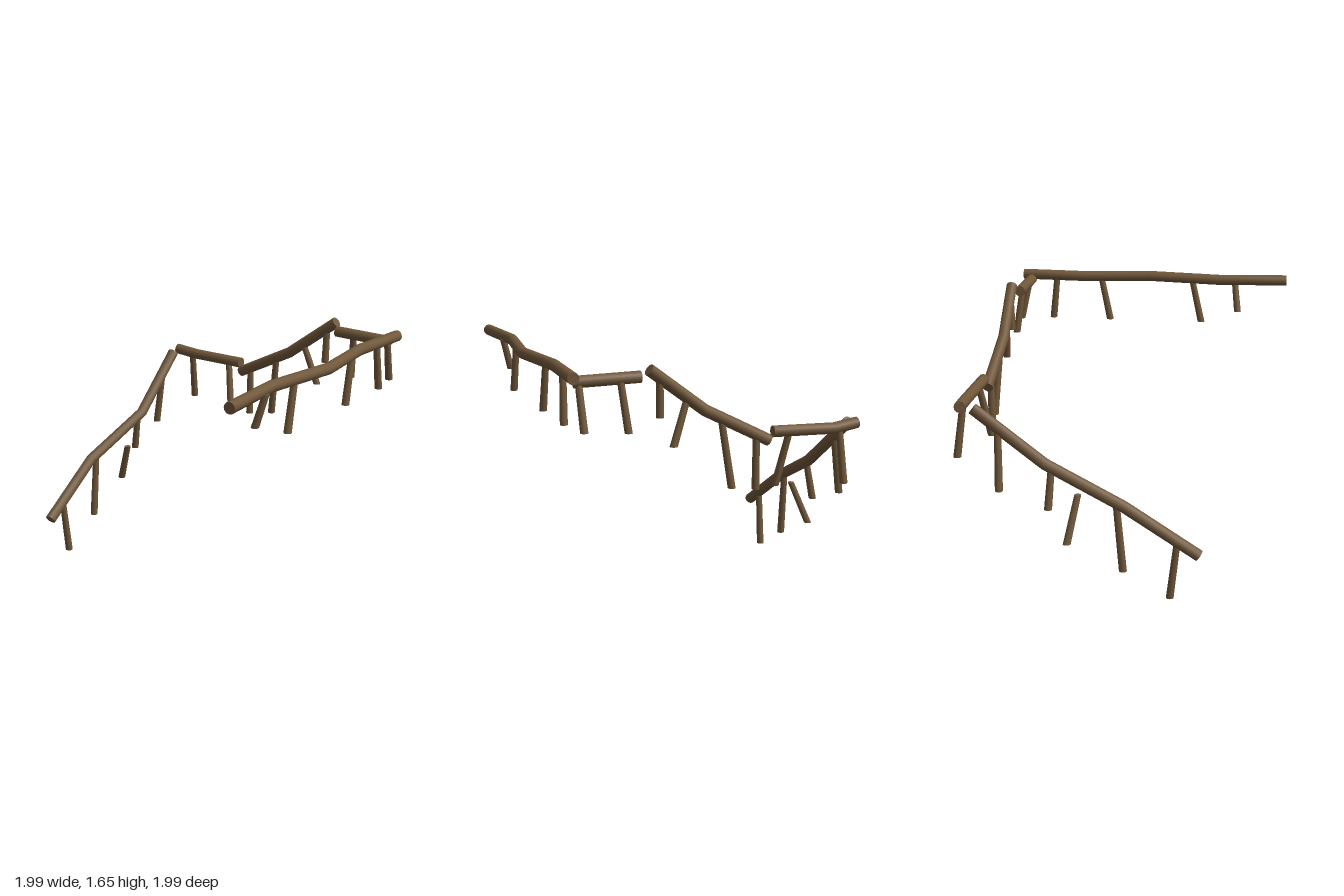
import * as THREE from 'three';

const UP = new THREE.Vector3(0, 1, 0);
const wood = new THREE.MeshStandardMaterial({ color: 0x70573a });
wood.name = 'weathered brown wood';

// Rails: polylines of [x, y, z], swept with mitred joints
const RAILS = {
  frontRail: [[-1, 1.615, 0.92], [-0.53, 1.613, 0.88], [-0.02, 1.61, 0.955], [0.45, 1.608, 0.895], [0.9, 1.606, 0.92]],
  shortSideRail: [[0.842, 1.577, 0.49], [0.842, 1.575, 0.9]],
  slopingSideRail: [[0.89, 1.625, 0.455], [0.872, 1.35, 0.09], [0.886, 1.13, -0.335]],
  rearSideRail: [[0.905, 1.187, -0.35], [0.922, 1.175, -0.77], [0.905, 1.193, -0.94]],
  backRail: [[-0.56, 0.295, -0.927], [-0.1, 0.6, -0.947], [0.4, 0.83, -0.885], [0.83, 1.183, -0.925]],
};

// Posts: [top, bottom], leaning, with level ends
const POSTS = {
  frontPost: [
    [[-0.635, 1.6, 0.915], [-0.662, 1.392, 0.86]],
    [[-0.33, 1.6, 0.91], [-0.398, 1.295, 0.915]],
    [[0.33, 1.6, 0.91], [0.268, 1.292, 0.915]],
    [[0.655, 1.6, 0.905], [0.688, 1.292, 0.915]],
  ],
  shortSidePost: [
    [[0.852, 1.57, 0.875], [0.918, 1.288, 0.866]],
    [[0.85, 1.57, 0.618], [0.893, 1.257, 0.585]],
  ],
  slopingSidePost: [
    [[0.885, 1.56, 0.385], [0.88, 1.33, 0.382]],
    [[0.875, 1.42, 0.21], [0.905, 1.152, 0.305]],
    [[0.873, 1.28, -0.02], [0.908, 0.858, -0.077]],
    [[0.884, 1.17, -0.25], [0.882, 0.826, -0.252]],
  ],
  rearSidePost: [
    [[0.908, 1.17, -0.462], [0.852, 0.826, -0.4]],
    [[0.92, 1.17, -0.808], [0.967, 0.826, -0.825]],
  ],
  backPost: [
    [[-0.423, 0.37, -0.932], [-0.382, 0, -0.93]],
    [[-0.05, 0.61, -0.942], [-0.09, 0.17, -0.945]],
    [[0.203, 0.628, -0.86], [0.256, 0.342, -0.97]],
    [[0.36, 0.8, -0.892], [0.376, 0.552, -0.935]],
    [[0.682, 1.05, -0.912], [0.674, 0.67, -0.965]],
  ],
};

// Bends a cylinder along a polyline, one ring per point
function railGeometry(coords, radius) {
  const pts = coords.map((p) => new THREE.Vector3(...p));
  const last = pts.length - 1;
  const frames = pts.map((p, i) => {
    const tangent = new THREE.Vector3();
    if (i > 0) tangent.add(p.clone().sub(pts[i - 1]).normalize());
    if (i < last) tangent.add(pts[i + 1].clone().sub(p).normalize());
    tangent.normalize();
    const side = new THREE.Vector3().crossVectors(UP, tangent).normalize();
    const across = new THREE.Vector3().crossVectors(side, tangent);
    return new THREE.Matrix4().makeBasis(side, tangent, across).setPosition(p);
  });
  const geo = new THREE.CylinderGeometry(radius, radius, 1, 12, last);
  const pos = geo.attributes.position;
  const v = new THREE.Vector3();
  for (let i = 0; i < pos.count; i++) {
    v.fromBufferAttribute(pos, i);
    const ring = Math.round((v.y + 0.5) * last);
    v.y = 0;
    v.applyMatrix4(frames[ring]);
    pos.setXYZ(i, v.x, v.y, v.z);
  }
  geo.computeVertexNormals();
  return geo;
}

// Shears an upright cylinder so that both ends stay level
function postGeometry([top, bottom]) {
  const [dx, dy, dz] = top.map((t, i) => t - bottom[i]);
  const geo = new THREE.CylinderGeometry(0.022, 0.025, 1, 10);
  geo.translate(0, 0.5, 0);
  geo.applyMatrix4(new THREE.Matrix4().set(
    1, dx, 0, bottom[0],
    0, dy, 0, bottom[1],
    0, dz, 1, bottom[2],
    0, 0, 0, 1,
  ));
  return geo;
}

export function createModel() {
  const model = new THREE.Group();
  model.name = 'brokenFence';
  const add = (name, geometry) => {
    const mesh = new THREE.Mesh(geometry, wood);
    mesh.name = name;
    model.add(mesh);
  };
  for (const [name, path] of Object.entries(RAILS)) add(name, railGeometry(path, 0.037));
  for (const [name, list] of Object.entries(POSTS)) {
    list.forEach((ends, i) => add(name + (i + 1), postGeometry(ends)));
  }
  return model;
}
